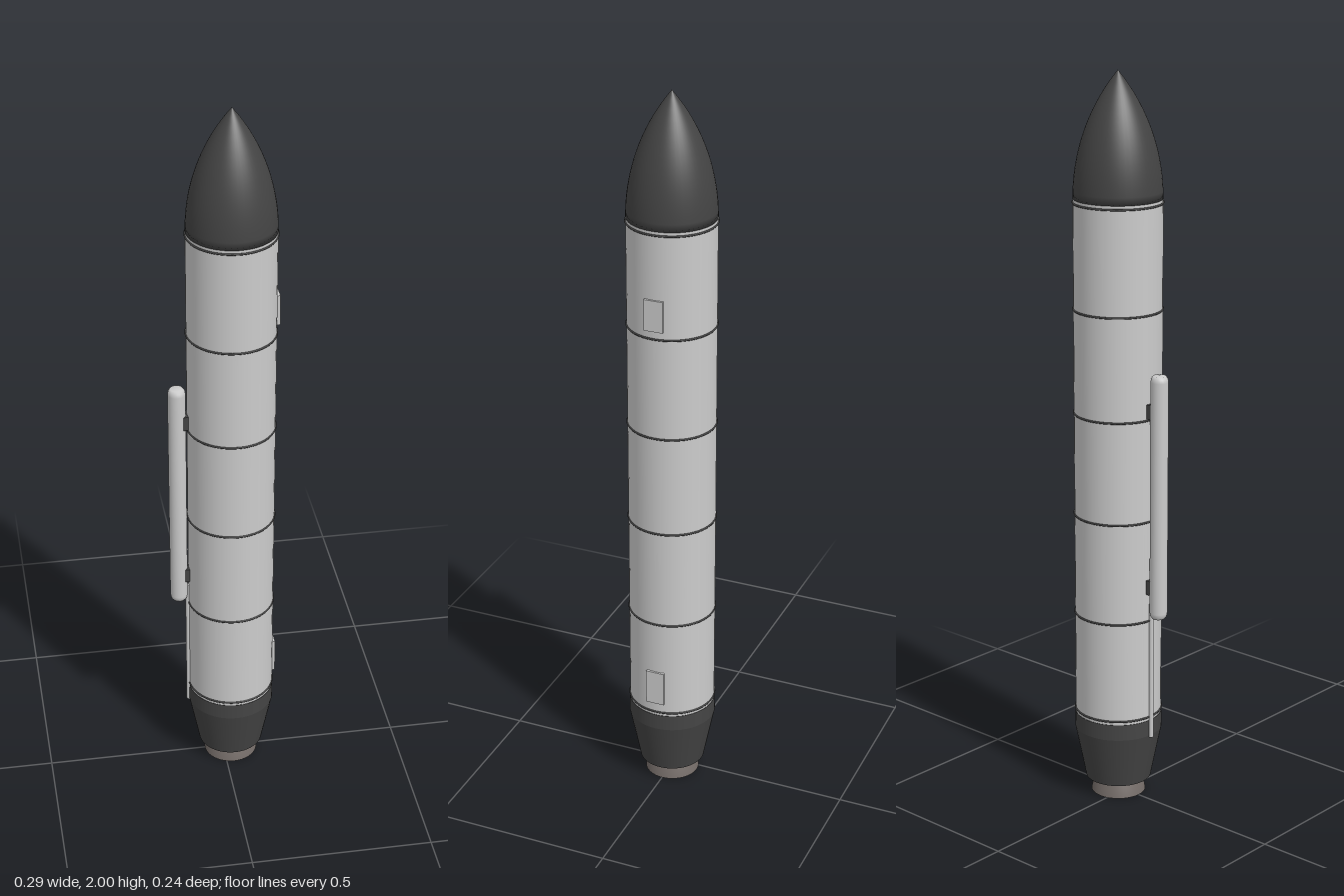
import * as THREE from 'three';

const material = (color, side = THREE.FrontSide) =>
  new THREE.MeshStandardMaterial({ color, side });

export function createModel() {
  const model = new THREE.Group();
  const rocket = new THREE.Group();
  rocket.name = 'rocket';
  rocket.position.x = 0.022; // offset balances the side pod
  model.add(rocket);

  const light = material(0xcccccc);
  const dark = material(0x444444);
  const metal = material(0x746c68, THREE.DoubleSide);
  const R = 0.118;

  const add = (name, geometry, mat, x = 0, y = 0, z = 0) => {
    const mesh = new THREE.Mesh(geometry, mat);
    mesh.name = name;
    mesh.position.set(x, y, z);
    rocket.add(mesh);
    return mesh;
  };
  const lathe = (points, segments = 48) =>
    new THREE.LatheGeometry(points.map(([r, y]) => new THREE.Vector2(r, y)), segments);

  // Main tube
  add('body', new THREE.CylinderGeometry(R, R, 1.43, 48), light, 0, 0.955);

  // Ogive nose
  const noseLength = 0.33;
  const rho = (R * R + noseLength * noseLength) / (2 * R);
  const nose = [[0, 0]];
  for (let i = 0; i <= 16; i++) {
    const y = (noseLength * i) / 16;
    nose.push([Math.max(0, Math.sqrt(rho * rho - y * y) + R - rho), y]);
  }
  add('noseCone', lathe(nose), dark, 0, 1.67);

  // Tapered tail: short collar, then boat-tail with a closed base
  add('tailCollar', new THREE.CylinderGeometry(0.119, 0.12, 0.045, 48), dark, 0, 0.2175);
  add('tailCone', new THREE.CylinderGeometry(0.12, 0.09, 0.15, 48), dark, 0, 0.12);

  // Open engine bell
  add('nozzle', lathe([[0.075, 0], [0.071, 0.02], [0.063, 0.045]]), metal);

  // Thin joint rings, evenly spaced
  for (let i = 0; i < 6; i++) {
    const ring = add('jointRing', new THREE.TorusGeometry(R, 0.003, 6, 48), dark, 0, 0.25 + i * 0.282);
    ring.rotation.x = Math.PI / 2;
  }

  // Access hatches on the left side
  for (const [y, h] of [[1.443, 0.085], [0.33, 0.1]]) {
    add('accessHatch', new THREE.BoxGeometry(0.016, h, 0.052), light, 0.115, y);
  }

  // Side pod with chamfered ends
  const podX = -0.145;
  add('sidePod', lathe([
    [0, 0.545], [0.017, 0.545], [0.022, 0.552], [0.024, 0.562],
    [0.024, 1.203], [0.022, 1.213], [0.017, 1.22], [0, 1.22],
  ], 24), light, podX);

  // Pod brackets and the pipe running down to the tail
  for (const y of [0.63, 1.12]) {
    add('podBracket', new THREE.BoxGeometry(0.03, 0.04, 0.036), dark, -0.12, y);
  }
  add('feedPipe', new THREE.CylinderGeometry(0.007, 0.007, 0.4, 12), light, -0.12, 0.39);

  return model;
}
